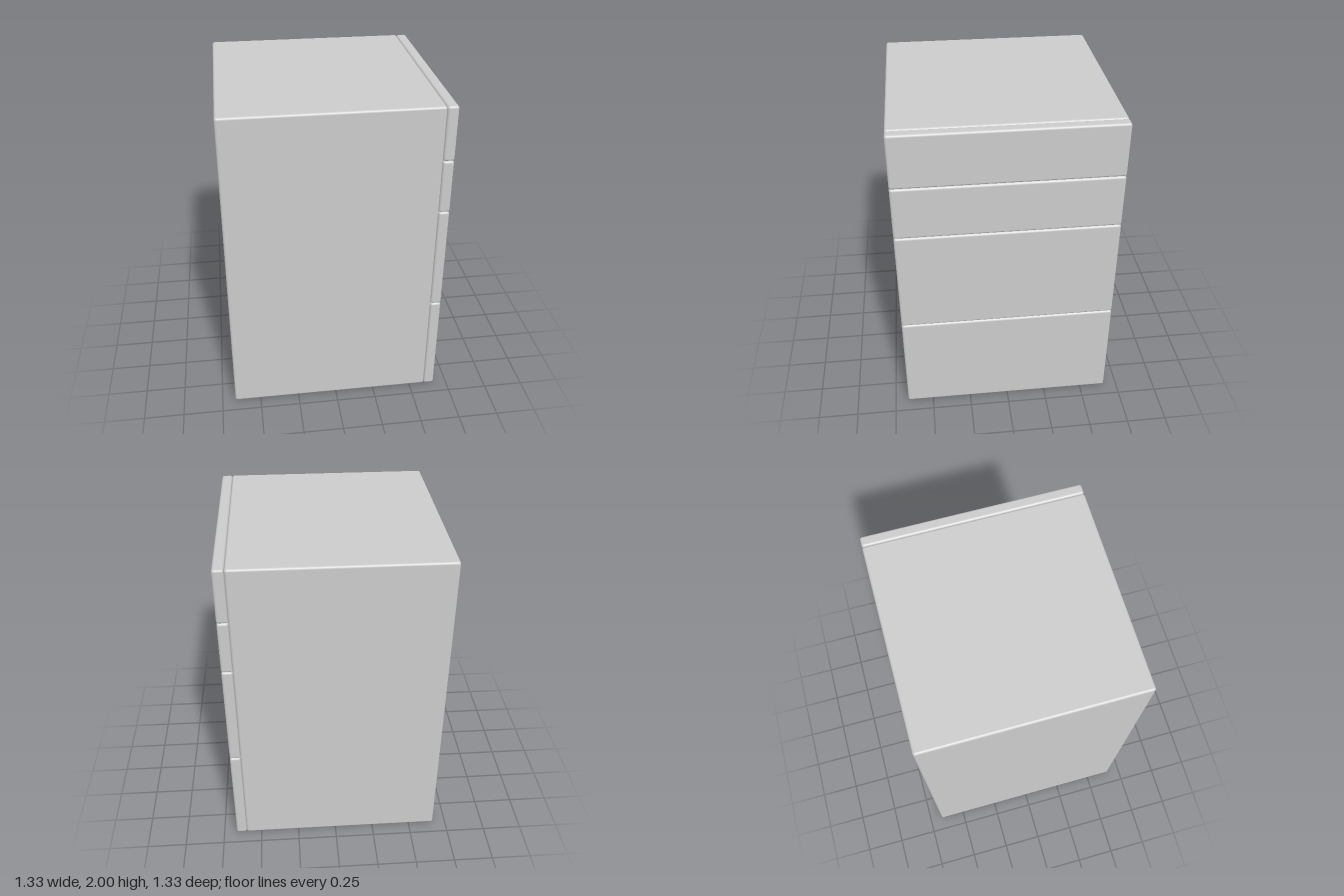
import * as THREE from 'three';
import { RoundedBoxGeometry } from 'three/addons/geometries/RoundedBoxGeometry.js';

const WIDTH = 4 / 3, DEPTH = 4 / 3, HEIGHT = 2, FRONT = 0.067, RADIUS = 0.015;

export function createModel() {
  const group = new THREE.Group();
  group.name = 'drawerCabinet';
  const material = new THREE.MeshStandardMaterial({ color: 0xcccccc });

  // Softly rounded block placed by its x and y ranges
  const block = (name, x0, x1, y0, y1) => {
    const mesh = new THREE.Mesh(new RoundedBoxGeometry(x1 - x0, y1 - y0, DEPTH, 3, RADIUS), material);
    mesh.name = name;
    mesh.position.set((x0 + x1) / 2, (y0 + y1) / 2, 0);
    group.add(mesh);
  };

  // Cabinet body
  const seam = WIDTH / 2 - FRONT;
  block('body', -WIDTH / 2, seam, 0, HEIGHT);

  // Two deep drawers below two shallow ones, all on the +x side
  const levels = [0, 2 / 3, 4 / 3, 5 / 3, HEIGHT];
  for (let i = 0; i < levels.length - 1; i++) {
    block(`drawerFront${i + 1}`, seam, WIDTH / 2, levels[i], levels[i + 1]);
  }
  return group;
}
